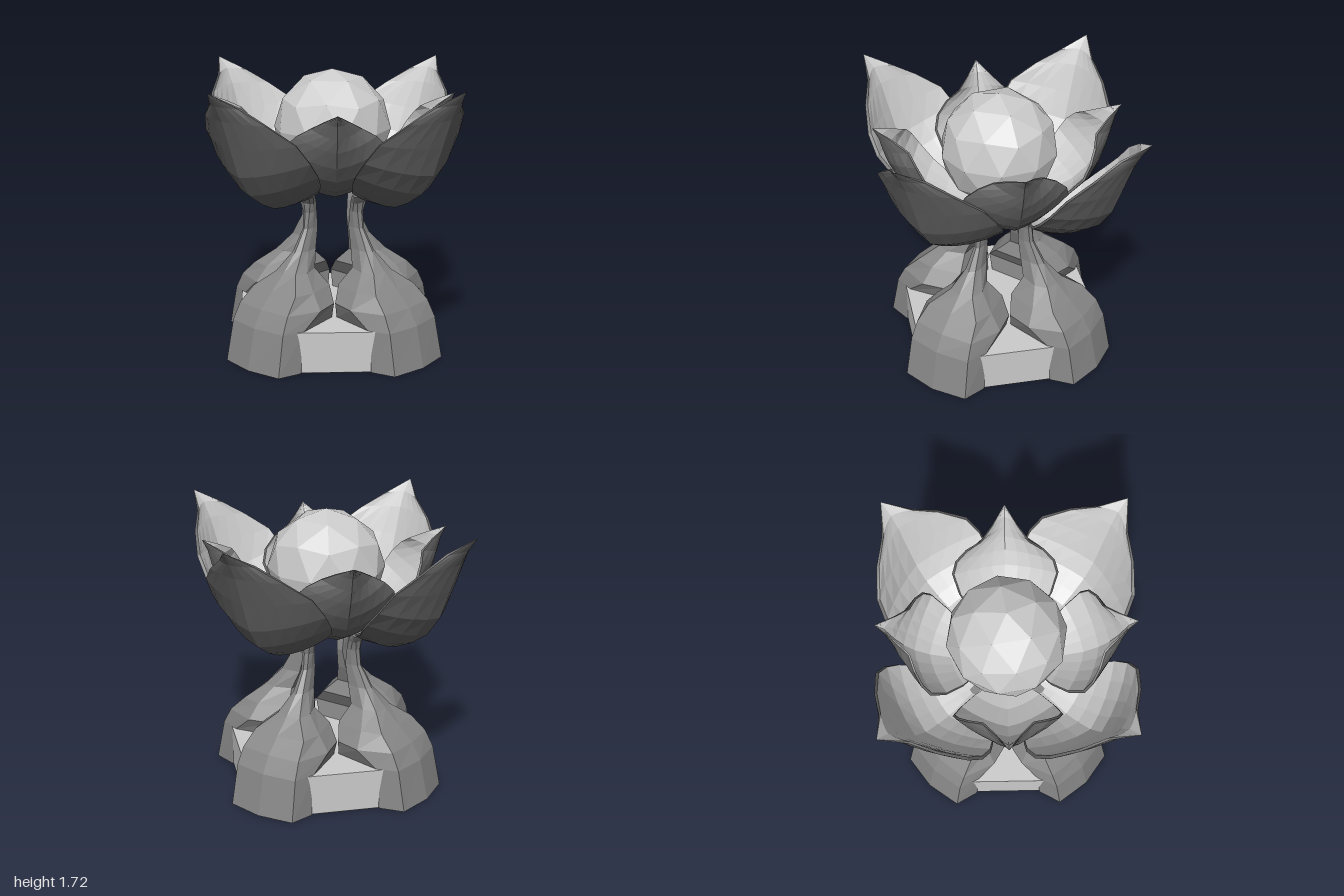
import * as THREE from 'three';

const makeMaterial = (color, side = THREE.FrontSide) =>
  new THREE.MeshStandardMaterial({ color, flatShading: true, side });
const pale = makeMaterial(0xcccccc);
const petalDark = makeMaterial(0x646464, THREE.DoubleSide);
const petalPale = makeMaterial(0xcccccc, THREE.DoubleSide);
const legGrey = makeMaterial(0x878787);

// Skin over rows of [x, y, z] points; closed rows become a capped solid
function loft(rows, closed) {
  const n = rows[0].length, last = (rows.length - 1) * n, index = [];
  for (let i = 0; i < rows.length - 1; i++) {
    for (let j = 0; j < (closed ? n : n - 1); j++) {
      const a = i * n + j, b = i * n + (j + 1) % n;
      index.push(a, a + n, b, b, a + n, b + n);
    }
  }
  for (let j = 1; closed && j < n - 1; j++) {
    index.push(0, j, j + 1, last, last + j + 1, last + j);
  }
  const geo = new THREE.BufferGeometry();
  geo.setAttribute('position', new THREE.Float32BufferAttribute(rows.flat(2), 3));
  geo.setIndex(index);
  geo.computeVertexNormals();
  return geo;
}

// Cupped petal with a creased midrib: an outer shell that wraps the rim, and a lining.
// Each row: midrib radius, midrib y, rim radius, rim y, rim half width
function petalGeometries(rows, thickness) {
  const segments = 8, shell = [], lining = [];
  rows.forEach(([mr, my, er, ey, w], i) => {
    const p = rows[Math.max(i - 1, 0)], q = rows[Math.min(i + 1, rows.length - 1)];
    const inward = new THREE.Vector2(p[1] - q[1], q[0] - p[0]).normalize();
    const t = thickness * Math.min(1, w / 0.1);
    const outer = [], inner = [];
    for (let k = 0; k <= segments; k++) {
      const s = (k / segments) * 2 - 1;
      const f = 0.4 * Math.abs(s) + 0.6 * s * s;
      const r = mr + (er - mr) * f, y = my + (ey - my) * f;
      const d = t * (1 - 0.5 * s * s);
      outer.push([r, y, w * s]);
      inner.push([r + inward.x * d, y + inward.y * d, w * s * 0.96]);
    }
    shell.push([inner[0], ...outer, inner[segments]]);
    lining.push(inner.reverse());
  });
  return [loft(shell, false), loft(lining, false)];
}

// Leg: y, outer radius, side radius, side half width, middle radius,
// middle half width, inner radius, inner half width
function legGeometry(rows) {
  return loft(rows.map(([y, ro, rs, ws, rm, wm, ri, wi]) => [
    [ro, y, 0], [rs, y, ws], [rm, y, wm], [ri, y, wi],
    [ri, y, -wi], [rm, y, -wm], [rs, y, -ws],
  ]), true);
}

export function createModel() {
  const model = new THREE.Group();
  const add = (name, geo, material, angle = 0) => {
    const mesh = new THREE.Mesh(geo, material);
    mesh.name = name;
    mesh.rotation.y = angle;
    model.add(mesh);
    return mesh;
  };

  const [outerShell, outerLining] = petalGeometries([
    [0.21, 0.96, 0.22, 0.99, 0.05],
    [0.36, 0.95, 0.34, 1.04, 0.20],
    [0.50, 0.945, 0.42, 1.09, 0.29],
    [0.60, 0.99, 0.47, 1.14, 0.345],
    [0.70, 1.06, 0.53, 1.20, 0.385],
    [0.78, 1.18, 0.61, 1.29, 0.40],
    [0.84, 1.35, 0.69, 1.40, 0.37],
    [0.90, 1.52, 0.80, 1.51, 0.25],
    [0.945, 1.61, 0.88, 1.60, 0.12],
    [1.00, 1.69, 1.00, 1.69, 0.002],
  ], 0.025);

  const [innerShell, innerLining] = petalGeometries([
    [0.14, 0.985, 0.15, 1.01, 0.07],
    [0.34, 1.01, 0.26, 1.07, 0.20],
    [0.47, 1.07, 0.36, 1.15, 0.28],
    [0.56, 1.15, 0.445, 1.26, 0.318],
    [0.62, 1.24, 0.49, 1.34, 0.295],
    [0.665, 1.34, 0.53, 1.41, 0.23],
    [0.69, 1.42, 0.56, 1.46, 0.145],
    [0.71, 1.50, 0.64, 1.51, 0.075],
    [0.742, 1.565, 0.742, 1.565, 0.002],
  ], 0.02);

  const leg = legGeometry([
    [0.00, 0.735, 0.70, 0.22, 0.56, 0.26, 0.20, 0.20],
    [0.25, 0.68, 0.65, 0.21, 0.52, 0.255, 0.22, 0.20],
    [0.35, 0.62, 0.60, 0.20, 0.40, 0.275, 0.24, 0.235],
    [0.44, 0.53, 0.51, 0.175, 0.38, 0.20, 0.19, 0.15],
    [0.53, 0.43, 0.41, 0.08, 0.33, 0.10, 0.22, 0.06],
    [0.64, 0.33, 0.31, 0.035, 0.26, 0.042, 0.18, 0.03],
    [0.77, 0.25, 0.24, 0.02, 0.20, 0.026, 0.152, 0.02],
    [0.87, 0.24, 0.23, 0.025, 0.20, 0.035, 0.165, 0.025],
    [0.93, 0.25, 0.24, 0.04, 0.22, 0.05, 0.185, 0.04],
    [0.98, 0.30, 0.28, 0.07, 0.25, 0.08, 0.215, 0.06],
  ]);

  // Four legs and outer petals on the axes, inner petals on the diagonals
  for (let k = 0; k < 4; k++) {
    const angle = k * Math.PI / 2, diagonal = angle + Math.PI / 4;
    add('leg', leg, legGrey, angle);
    add('outerPetalShell', outerShell, petalDark, angle);
    add('outerPetalLining', outerLining, petalPale, angle);
    add('innerPetalShell', innerShell, petalDark, diagonal);
    add('innerPetalLining', innerLining, petalPale, diagonal);
  }

  // Eight-sided plinth showing between the legs, with a grey underside
  const plinth = new THREE.CylinderGeometry(0.615, 0.615, 0.245, 8);
  add('plinth', plinth, pale, Math.PI / 8).position.y = 0.1275;
  const underside = new THREE.CylinderGeometry(0.615, 0.615, 0.005, 8);
  add('underside', underside, legGrey, Math.PI / 8).position.y = 0.0025;

  // Faceted orb with a vertex pointing straight up
  const orb = new THREE.IcosahedronGeometry(0.355, 1);
  orb.rotateZ(Math.atan(2 / (1 + Math.sqrt(5))));
  add('orb', orb, pale).position.y = 1.36;

  return model;
}
